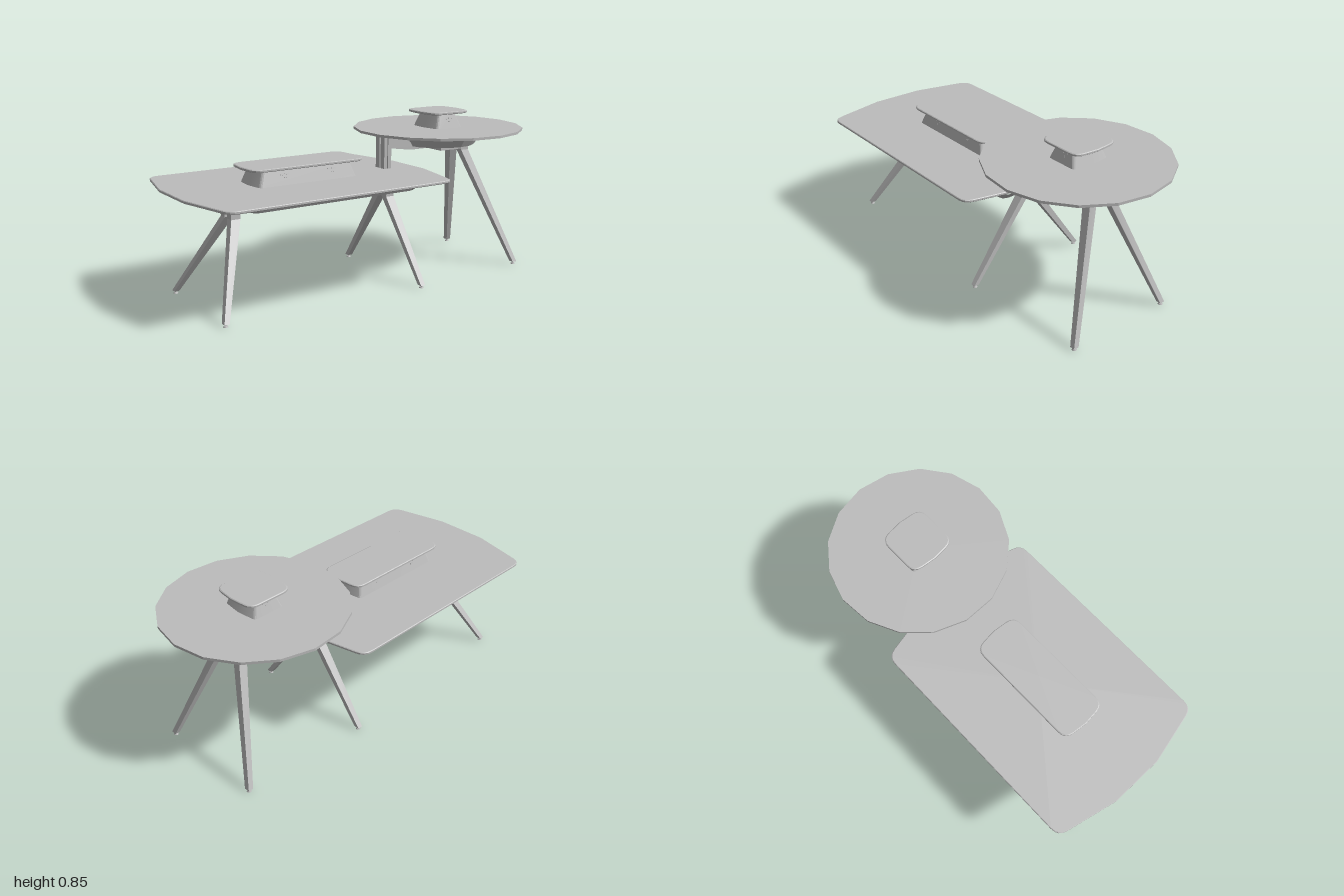
import * as THREE from 'three';
import { toCreasedNormals } from 'three/addons/utils/BufferGeometryUtils.js';

const grey = new THREE.MeshStandardMaterial({ color: 0xbcbcbc, side: THREE.DoubleSide });
grey.name = 'satin grey';

// Outline from corners [x, z, radius], running from +x towards +z
function outline(corners, steps = 4) {
  const pts = [], n = corners.length;
  corners.forEach(([x, z, r], i) => {
    if (!r) { pts.push([x, z]); return; }
    const p = new THREE.Vector2(x, z);
    const toward = (c) => p.clone().add(new THREE.Vector2(c[0] - x, c[1] - z).setLength(r));
    const curve = new THREE.QuadraticBezierCurve(
      toward(corners[(i + n - 1) % n]), p, toward(corners[(i + 1) % n]));
    curve.getPoints(steps).forEach((q) => pts.push([q.x, q.y]));
  });
  return pts;
}

// Rectangle with slightly peaked ends, centred on cx
function padOutline(cx, w, d, r, peak = 0.012) {
  return outline([
    [cx + w, 0, 0], [cx + w - peak, d, r], [cx - w + peak, d, r],
    [cx - w, 0, 0], [cx - w + peak, -d, r], [cx + w - peak, -d, r]]);
}

const boxOutline = (cx, cz, w, d) =>
  [[cx + w, cz - d], [cx + w, cz + d], [cx - w, cz + d], [cx - w, cz - d]];

function circleOutline(cx, r, n) {
  return Array.from({ length: n }, (_, i) => {
    const a = (i / n) * Math.PI * 2;
    return [cx + r * Math.cos(a), r * Math.sin(a)];
  });
}

// Skin a stack of outlines [y, points], bottom to top
function loft(rings, capped = true) {
  const pos = [];
  const put = (y, p) => pos.push(p[0], y, p[1]);
  for (let k = 0; k + 1 < rings.length; k++) {
    const [ya, a] = rings[k], [yb, b] = rings[k + 1];
    for (let i = 0; i < a.length; i++) {
      const j = (i + 1) % a.length;
      put(ya, a[i]); put(yb, b[i]); put(ya, a[j]);
      put(yb, b[i]); put(yb, b[j]); put(ya, a[j]);
    }
  }
  if (capped) {
    for (const [[y, ring], top] of [[rings[0], false], [rings[rings.length - 1], true]]) {
      const c = [0, 1].map((m) => ring.reduce((s, p) => s + p[m], 0) / ring.length);
      ring.forEach((p, i) => {
        const q = ring[(i + 1) % ring.length];
        put(y, c); put(y, top ? q : p); put(y, top ? p : q);
      });
    }
  }
  const g = new THREE.BufferGeometry();
  g.setAttribute('position', new THREE.Float32BufferAttribute(pos, 3));
  return toCreasedNormals(g, 0.32);
}

function add(parent, name, geometry, x = 0, y = 0, z = 0) {
  const mesh = new THREE.Mesh(geometry, grey);
  mesh.name = name;
  mesh.position.set(x, y, z);
  parent.add(mesh);
  return mesh;
}

const box = (parent, name, x0, x1, y0, y1, z0, z1) =>
  add(parent, name, new THREE.BoxGeometry(x1 - x0, y1 - y0, z1 - z0),
    (x0 + x1) / 2, (y0 + y1) / 2, (z0 + z1) / 2);

// Mirrored pair of tapered splayed legs with levelling feet
function legPair(parent, name, hip, foot, top) {
  for (const s of [1, -1]) {
    const leg = new THREE.Group();
    leg.name = name;
    add(leg, 'legShaft', loft([
      [0.014, boxOutline(foot.x, s * foot.z, 0.013, 0.014)],
      [hip.y, boxOutline(hip.x, s * hip.z, 0.024, 0.021)],
      [top, boxOutline(hip.x, s * hip.z, 0.024, 0.021)]]));
    add(leg, 'footStem', new THREE.CylinderGeometry(0.005, 0.005, 0.012, 8), foot.x, 0.01, s * foot.z);
    add(leg, 'footPad', new THREE.CylinderGeometry(0.009, 0.012, 0.006, 12), foot.x, 0.003, s * foot.z);
    parent.add(leg);
  }
}

// Raised power unit: tapered body, overhanging lid, outlets on both faces
function powerUnit(parent, cx, y, lidW, bodyW, height, outlets) {
  const unit = new THREE.Group();
  unit.name = 'powerUnit';
  const lean = 0.022;
  add(unit, 'unitBody', loft([
    [y, padOutline(cx, bodyW, 0.105, 0.02)],
    [y + height, padOutline(cx, bodyW - 0.028, 0.105 - lean, 0.02)]]));
  add(unit, 'unitLid', loft([
    [y + height, padOutline(cx, lidW - 0.004, 0.122, 0.05)],
    [y + height + 0.003, padOutline(cx, lidW, 0.126, 0.05)],
    [y + height + 0.011, padOutline(cx, lidW, 0.126, 0.05)],
    [y + height + 0.014, padOutline(cx, lidW - 0.004, 0.122, 0.05)]]));
  for (const s of [1, -1]) for (const dx of outlets) {
    [[-0.012, 0.005, 0.022], [0.014, 0.005, 0.022], [0.006, -0.009, 0.014]].forEach(([ox, oy, w]) => {
      const t = 0.6 + oy / height;
      const plate = add(unit, 'outlet', new THREE.BoxGeometry(w, 0.008, 0.004),
        cx + dx + ox, y + height * t, s * (0.105 - lean * t));
      plate.rotation.x = -s * Math.atan2(lean, height);
    });
  }
  parent.add(unit);
}

function lowTable() {
  const t = new THREE.Group();
  t.name = 'lowTable';
  const cx = -0.325;
  const topOutline = (e) => outline([
    [cx + 0.675 - e, -0.14, 0], [cx + 0.675 - e, 0.14, 0], [cx + 0.605 - e, 0.455 - e, 0.05],
    [cx - 0.605 + e, 0.455 - e, 0.05], [cx - 0.675 + e, 0.14, 0], [cx - 0.675 + e, -0.14, 0],
    [cx - 0.605 + e, -0.455 + e, 0.05], [cx + 0.605 - e, -0.455 + e, 0.05]]);
  add(t, 'tableTop', loft([[0.556, topOutline(0.003)], [0.559, topOutline(0)],
    [0.567, topOutline(0)], [0.57, topOutline(0.003)]]));

  // Open sloping apron with a turned-in lower lip
  const ring = (w, d) => outline([[-0.22 + w, -d, 0.035], [-0.22 + w, d, 0.035],
    [-0.22 - w, d, 0.035], [-0.22 - w, -d, 0.035]], 2);
  add(t, 'apron', loft([[0.48, ring(0.445, 0.18)], [0.478, ring(0.465, 0.2)],
    [0.557, ring(0.56, 0.25)]], false));

  // Cable tray, rails and leg bridges inside the apron
  box(t, 'cableTray', -0.57, 0.08, 0.515, 0.557, -0.12, 0.12);
  for (const x of [-0.45, -0.25, -0.05]) {
    add(t, 'grommet', new THREE.CylinderGeometry(0.02, 0.02, 0.006, 16), x, 0.513, 0.03);
  }
  for (const x of [-0.4, -0.1]) box(t, 'trayCover', x - 0.06, x + 0.06, 0.51, 0.516, -0.1, -0.04);
  for (const s of [-0.15, 0.15]) box(t, 'rail', -0.66, 0.2, 0.5, 0.525, s - 0.01, s + 0.01);
  for (const x of [-0.66, 0.19]) box(t, 'legBridge', x - 0.025, x + 0.025, 0.485, 0.53, -0.17, 0.17);

  legPair(t, 'outerLeg', { x: -0.705, y: 0.425, z: 0.035 }, { x: -0.882, z: 0.283 }, 0.475);
  box(t, 'outerLegBracket', -0.725, -0.65, 0.455, 0.5, -0.05, 0.05);
  legPair(t, 'middleLeg', { x: 0.19, y: 0.425, z: 0.035 }, { x: 0.19, z: 0.335 }, 0.53);
  powerUnit(t, cx, 0.57, 0.322, 0.285, 0.077, [-0.135, 0.13]);
  return t;
}

function highTable() {
  const t = new THREE.Group();
  t.name = 'highTable';
  const cx = 0.546;
  add(t, 'roundTop', loft([[0.749, circleOutline(cx, 0.454, 17)], [0.762, circleOutline(cx, 0.454, 17)]]));
  add(t, 'roundApron', loft([[0.674, circleOutline(cx, 0.182, 16)], [0.672, circleOutline(cx, 0.2, 16)],
    [0.75, circleOutline(cx, 0.25, 16)]], false));

  // Under-table equipment box and the crossbar behind the legs
  box(t, 'equipmentBox', 0.47, 0.62, 0.65, 0.7, -0.128, 0.128);
  add(t, 'grommet', new THREE.CylinderGeometry(0.02, 0.02, 0.006, 16), 0.545, 0.649, 0);
  box(t, 'legCrossbar', 0.6, 0.7, 0.68, 0.71, -0.1, 0.1);

  // Twin posts standing on the low table
  for (const s of [1, -1]) {
    box(t, 'post', 0.165, 0.182, 0.565, 0.75, s * 0.022 - 0.016, s * 0.022 + 0.016);
    box(t, 'postCover', 0.19, 0.21, 0.565, 0.75, s * 0.022 - 0.016, s * 0.022 + 0.016);
  }
  box(t, 'postWeb', 0.18, 0.192, 0.565, 0.75, -0.03, 0.03);

  // Cantilever arm from the posts to the equipment box
  const side = new THREE.Shape([[0.205, 0.675], [0.34, 0.655], [0.48, 0.655], [0.48, 0.672],
    [0.36, 0.672], [0.3, 0.735], [0.205, 0.75]].map((p) => new THREE.Vector2(...p)));
  add(t, 'supportArm', new THREE.ExtrudeGeometry(side, { depth: 0.07, bevelEnabled: false }), 0, 0, -0.035);

  legPair(t, 'highLeg', { x: 0.686, y: 0.628, z: 0.047 }, { x: 0.872, z: 0.285 }, 0.7);
  powerUnit(t, cx, 0.762, 0.132, 0.097, 0.076, [0]);
  return t;
}

export function createModel() {
  const model = new THREE.Group();
  model.name = 'twoLevelTable';
  model.add(lowTable(), highTable());
  return model;
}
